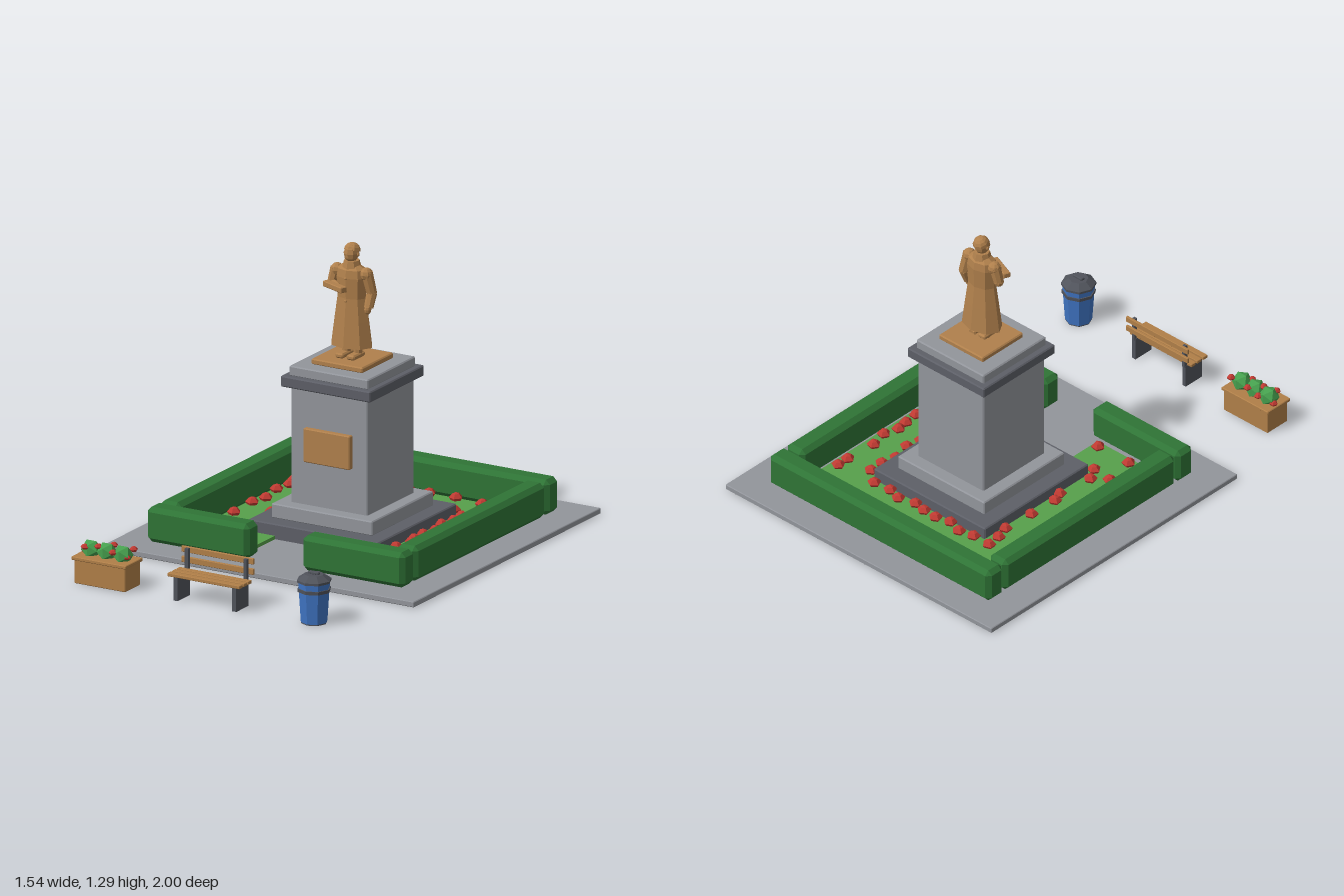
import * as THREE from 'three';
import { ConvexGeometry } from 'three/addons/geometries/ConvexGeometry.js';

const mat = (name, color) => Object.assign(new THREE.MeshStandardMaterial({ color, flatShading: true }), { name });
const stone = mat('stone', 0x92959b), darkStone = mat('dark stone', 0x5d5f67);
const bronze = mat('bronze', 0xb0804c), wood = mat('wood', 0xb07f48);
const hedgeGreen = mat('hedge green', 0x2f7436), grass = mat('grass', 0x57a04b);
const leaf = mat('leaf green', 0x46a04e), red = mat('flower red', 0xc03a32);
const blue = mat('bin blue', 0x3f74c2), metal = mat('dark metal', 0x50535b);

function add(parent, name, geometry, material, x = 0, y = 0, z = 0) {
  const m = new THREE.Mesh(geometry, material);
  m.name = name;
  m.position.set(x, y, z);
  parent.add(m);
  return m;
}

function group(parent, name, x = 0, y = 0, z = 0) {
  const g = new THREE.Group();
  g.name = name;
  g.position.set(x, y, z);
  parent.add(g);
  return g;
}

// Box given by its limits, with chamfered edges when c > 0
function block(parent, name, material, [x0, x1], [y0, y1], [z0, z1], c = 0) {
  const w = (x1 - x0) / 2, h = (y1 - y0) / 2, d = (z1 - z0) / 2;
  let geo;
  if (c > 0) {
    const pts = [];
    for (const i of [-1, 1]) for (const j of [-1, 1]) for (const k of [-1, 1]) {
      pts.push(new THREE.Vector3(i * w, j * (h - c), k * (d - c)));
      pts.push(new THREE.Vector3(i * (w - c), j * h, k * (d - c)));
      pts.push(new THREE.Vector3(i * (w - c), j * (h - c), k * d));
    }
    geo = new ConvexGeometry(pts);
  } else geo = new THREE.BoxGeometry(2 * w, 2 * h, 2 * d);
  return add(parent, name, geo, material, (x0 + x1) / 2, (y0 + y1) / 2, (z0 + z1) / 2);
}

// Tapered round bar from a to b
function limb(parent, name, a, b, r0, r1, material) {
  const A = new THREE.Vector3(...a), B = new THREE.Vector3(...b), dir = B.clone().sub(A);
  const m = add(parent, name, new THREE.CylinderGeometry(r1, r0, dir.length(), 8), material);
  m.position.copy(A).add(B).multiplyScalar(0.5);
  m.quaternion.setFromUnitVectors(new THREE.Vector3(0, 1, 0), dir.normalize());
  return m;
}

const lathe = (pts, n) => new THREE.LatheGeometry(pts.map(p => new THREE.Vector2(...p)), n);
const ball = (r, sx = 1, sy = 1, sz = 1) => new THREE.SphereGeometry(r, 8, 6).scale(sx, sy, sz);
const blossom = lathe([[0, 0], [0.022, 0], [0.031, 0.014], [0.016, 0.031], [0, 0.037]], 5);

function buildStatue(root) {
  const s = group(root, 'statue', 0, 0, -0.23);
  // Legs and shoes
  for (const side of [-1, 1]) {
    add(s, 'leg', new THREE.CylinderGeometry(0.02, 0.019, 0.08, 8), bronze, side * 0.028, 0.825, -0.005);
    block(s, 'shoe', bronze, [side * 0.028 - 0.02, side * 0.028 + 0.02], [0.784, 0.806], [-0.035, 0.06], 0.006);
  }
  // Long coat, collar and buttons
  const coat = add(s, 'coat', lathe([[0, 0.835], [0.1, 0.835], [0.084, 0.95], [0.069, 1.05],
    [0.074, 1.14], [0.067, 1.175], [0.03, 1.198], [0, 1.2]], 8), bronze);
  coat.scale.z = 0.7;
  add(s, 'collar', lathe([[0.042, 1.18], [0.034, 1.212], [0, 1.212]], 8), bronze);
  for (const y of [1.04, 1.085, 1.14]) add(s, 'button', ball(0.006), bronze, 0, y, 0.051);
  // Hanging left arm
  add(s, 'leftShoulder', ball(0.03), bronze, 0.072, 1.158, 0);
  limb(s, 'leftUpperArm', [0.074, 1.165, 0], [0.092, 1.075, -0.012], 0.027, 0.023, bronze);
  add(s, 'leftElbow', ball(0.023), bronze, 0.092, 1.075, -0.012);
  limb(s, 'leftForearm', [0.092, 1.075, -0.012], [0.09, 1.015, 0.01], 0.023, 0.02, bronze);
  add(s, 'leftHand', ball(0.017, 0.9, 1.3, 1), bronze, 0.088, 1.008, 0.014);
  // Bent right arm holding a flat book
  add(s, 'rightShoulder', ball(0.03), bronze, -0.072, 1.158, 0);
  limb(s, 'rightUpperArm', [-0.074, 1.165, 0], [-0.092, 1.095, 0.005], 0.027, 0.023, bronze);
  add(s, 'rightElbow', ball(0.023), bronze, -0.092, 1.095, 0.005);
  limb(s, 'rightForearm', [-0.092, 1.095, 0.005], [-0.03, 1.1, 0.06], 0.022, 0.017, bronze);
  add(s, 'rightHand', ball(0.017), bronze, -0.025, 1.1, 0.065);
  const book = block(s, 'book', bronze, [-0.105, 0.025], [1.093, 1.118], [0.057, 0.089], 0.003);
  book.rotation.y = -0.38;
  // Head
  add(s, 'neck', new THREE.CylinderGeometry(0.02, 0.022, 0.04, 8), bronze, 0, 1.21, 0);
  add(s, 'head', ball(1, 0.032, 0.042, 0.036), bronze, 0, 1.243, 0.002);
  const hair = new THREE.SphereGeometry(1, 8, 4, 0, Math.PI * 2, 0, Math.PI / 2).scale(0.036, 0.036, 0.038);
  add(s, 'hair', hair, bronze, 0, 1.252, -0.004).rotation.x = -0.3;
  add(s, 'nose', new THREE.ConeGeometry(0.007, 0.018, 4), bronze, 0, 1.24, 0.039);
  for (const side of [-1, 1]) add(s, 'ear', ball(0.008, 0.6, 1.2, 1), bronze, side * 0.033, 1.24, 0);
}

function buildBench(root) {
  const b = group(root, 'bench');
  for (const x of [-0.145, 0.145]) {
    block(b, 'benchLeg', metal, [x - 0.01, x + 0.01], [0, 0.106], [0.87, 0.97]);
    block(b, 'backPost', metal, [x - 0.008, x + 0.008], [0.1, 0.208], [0.866, 0.882]);
  }
  for (const z of [0.893, 0.929, 0.966])
    block(b, 'seatSlat', wood, [-0.18, 0.177], [0.106, 0.121], [z - 0.014, z + 0.014], 0.002);
  for (const y of [0.152, 0.198])
    block(b, 'backSlat', wood, [-0.18, 0.177], [y - 0.013, y + 0.013], [0.854, 0.867], 0.002);
}

function buildPlanter(root) {
  const p = group(root, 'planter');
  block(p, 'planterBox', wood, [-0.64, -0.387], [0, 0.106], [0.856, 0.982], 0.003);
  block(p, 'planterRim', wood, [-0.65, -0.38], [0.104, 0.12], [0.848, 0.99], 0.003);
  for (const x of [-0.593, -0.515, -0.437])
    add(p, 'shrub', new THREE.IcosahedronGeometry(0.045, 0), leaf, x, 0.142, 0.917);
  const blooms = [[-0.63, 0.12, 0.905], [-0.605, 0.15, 0.95], [-0.55, 0.155, 0.93], [-0.505, 0.155, 0.878],
    [-0.47, 0.145, 0.945], [-0.403, 0.155, 0.885], [-0.56, 0.135, 0.885], [-0.41, 0.13, 0.93]];
  for (const at of blooms) add(p, 'planterBlossom', blossom, red, ...at).scale.setScalar(0.62);
}

function buildBin(root) {
  const b = group(root, 'litterBin', 0.51, 0, 0.92);
  const ring = (name, r1, r0, y0, y1, material) =>
    add(b, name, new THREE.CylinderGeometry(r1, r0, y1 - y0, 8), material, 0, (y0 + y1) / 2, 0);
  ring('binFoot', 0.057, 0.057, 0, 0.006, metal);
  ring('binBody', 0.07, 0.058, 0.005, 0.188, blue);
  ring('binBand', 0.073, 0.072, 0.14, 0.155, metal);
  ring('lidEdge', 0.075, 0.075, 0.182, 0.192, metal);
  ring('lid', 0.042, 0.075, 0.192, 0.215, metal);
  block(b, 'lidHandle', metal, [-0.026, 0.026], [0.213, 0.226], [-0.01, 0.01], 0.003);
}

export function createModel() {
  const root = new THREE.Group();
  root.name = 'memorialSquare';
  block(root, 'pavement', stone, [-0.77, 0.767], [0, 0.025], [-1, 0.53], 0.003);

  // Clipped hedges around the square
  for (const s of [-1, 1]) {
    const span = (a, b) => s < 0 ? [-b, -a] : [a, b];
    block(root, 'sideHedge', hedgeGreen, span(0.535, 0.637), [0.025, 0.18], [-0.77, 0.295], 0.02);
    block(root, 'frontHedge', hedgeGreen, span(0.132, 0.637), [0.025, 0.18], [0.303, 0.403], 0.02);
    block(root, 'sideBed', grass, span(0.32, 0.532), [0.02, 0.04], [-0.56, 0.082]);
    block(root, 'frontBed', grass, span(0.188, 0.532), [0.02, 0.04], [0.082, 0.287]);
  }
  block(root, 'backHedge', hedgeGreen, [-0.64, 0.637], [0.025, 0.18], [-0.877, -0.778], 0.02);
  block(root, 'backBed', grass, [-0.532, 0.532], [0.02, 0.04], [-0.76, -0.56]);

  // Blossoms in rows: each line has a shared depth or side and positions along it
  const rows = {
    back: [[-0.73, -0.37, -0.15, -0.07, -0.01, 0.08, 0.21, 0.35],
      [-0.587, -0.505, -0.37, -0.28, -0.21, -0.14, -0.07, 0, 0.06, 0.14, 0.205, 0.29, 0.49]],
    front: [[0.115, -0.51, -0.425, -0.325, 0.225, 0.385, 0.495],
      [0.255, -0.4, -0.225, 0.315, 0.39, 0.495]],
    side: [[-0.49, -0.53, -0.445, -0.32, -0.24, -0.08, 0.05], [-0.35, -0.515, -0.45, -0.3, -0.16, -0.11, 0.057],
      [0.358, -0.53, -0.46, -0.39, -0.3, -0.23, -0.155, -0.105, -0.02, 0.057],
      [0.49, -0.535, -0.385, -0.3, -0.23, -0.175, -0.105, 0.05]],
  };
  let n = 0;
  for (const [bed, lines] of Object.entries(rows)) for (const [fixed, ...along] of lines) for (const v of along) {
    const [x, z] = bed === 'side' ? [fixed, v] : [v, fixed];
    const wobble = Math.sin(n * 2.4) * 0.012;
    const m = add(root, 'blossom', blossom, red, bed === 'side' ? x + wobble : x, 0.038, bed === 'side' ? z : z + wobble);
    m.rotation.y = n++ * 1.3;
  }

  // Stepped pedestal: material, half width, bottom, top
  const tiers = [['lowerStep', darkStone, 0.322, 0.02, 0.092], ['upperStep', stone, 0.25, 0.09, 0.155],
    ['shaft', stone, 0.19, 0.15, 0.672], ['cornice', darkStone, 0.222, 0.67, 0.718],
    ['capstone', stone, 0.195, 0.715, 0.76], ['statueBase', bronze, 0.127, 0.758, 0.784]];
  for (const [name, m, h, y0, y1] of tiers)
    block(root, name, m, [-h, h], [y0, y1], [-0.235 - h, -0.235 + h], 0.005);
  block(root, 'plaque', bronze, [-0.115, 0.115], [0.35, 0.5], [-0.05, -0.022], 0.004);

  buildStatue(root);
  buildBench(root);
  buildPlanter(root);
  buildBin(root);
  return root;
}
